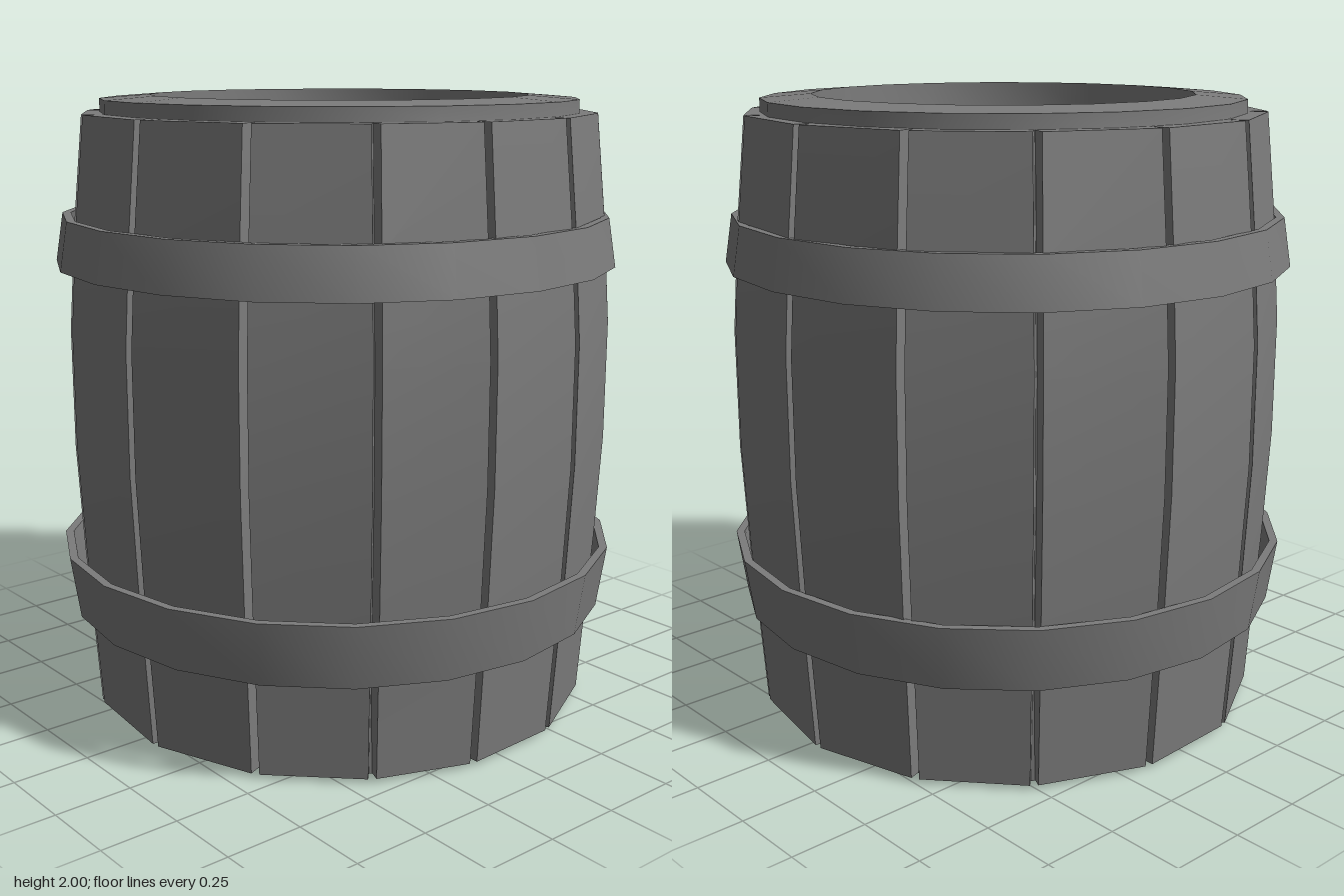
import * as THREE from 'three';
import { toCreasedNormals } from 'three/addons/utils/BufferGeometryUtils.js';

const material = new THREE.MeshStandardMaterial({ color: 0x7c7c7c });
const SIDES = 20;

// Height and corner radius of the bulging staves
const PROFILE = [[0.015, 0.835], [0.3, 0.855], [0.55, 0.873], [0.9, 0.891], [1.28, 0.891], [1.6, 0.868], [1.945, 0.833]];

// Bearings of the seams between staves, in degrees from the front
const SEAMS = [7, 33, 57.5, 80.3, 104.3, 130.6, 155.5, 183, 209, 234, 260, 286, 313, 340, 367];

function addMesh(parent, name, geometry) {
  const mesh = new THREE.Mesh(toCreasedNormals(geometry, 0.5), material);
  mesh.name = name;
  parent.add(mesh);
  return mesh;
}

// Profile runs bottom to top along the outside
function turned(points) {
  return new THREE.LatheGeometry(points.map(([r, y]) => new THREE.Vector2(r, y)), SIDES);
}

// One plank facing +z, lofted through four-cornered sections; neighbours form a V groove
function staveGeometry(half) {
  const position = [], index = [];
  const depth = 0.065, gap = 0.013;
  for (const [y, r] of PROFILE) {
    const z = r * Math.cos(half), outer = r * Math.sin(half) - gap;
    const inner = (z - depth) * Math.tan(half);
    position.push(-outer, y, z, outer, y, z, inner, y, z - depth, -inner, y, z - depth);
  }
  const last = (PROFILE.length - 1) * 4;
  for (let a = 0; a < last; a += 4) {
    for (let k = 0; k < 4; k++) {
      const n = (k + 1) % 4;
      index.push(a + k, a + n, a + 4 + n, a + k, a + 4 + n, a + 4 + k);
    }
  }
  index.push(0, 2, 1, 0, 3, 2, last, last + 1, last + 2, last, last + 2, last + 3);
  const geometry = new THREE.BufferGeometry();
  geometry.setAttribute('position', new THREE.Float32BufferAttribute(position, 3));
  geometry.setIndex(index);
  return geometry;
}

// Flared metal band of even thickness
function hoopGeometry(y0, r0, y1, r1, t = 0.027) {
  return turned([[r0 - t, y0], [r0, y0], [r1, y1], [r1 - t, y1], [r0 - t, y0]]);
}

export function createModel() {
  const barrel = new THREE.Group();
  barrel.name = 'barrel';

  // Inner drum with a recessed head at each end
  const drum = addMesh(barrel, 'drumAndHeads', turned([
    [0, 0.08], [0.61, 0.08], [0.61, 0], [0.8, 0.013],
    [0.8, 0.3], [0.835, 0.9], [0.835, 1.28], [0.8, 1.7], [0.77, 1.945],
    [0.77, 1.988], [0.61, 2], [0.61, 1.89], [0, 1.89],
  ]));
  drum.position.set(-0.01, 0, -0.025);

  // Ring of planks of slightly uneven width
  const staves = new THREE.Group();
  staves.name = 'staves';
  staves.position.set(-0.012, 0, -0.02);
  barrel.add(staves);
  for (let i = 0; i < SEAMS.length - 1; i++) {
    const start = THREE.MathUtils.degToRad(SEAMS[i]), end = THREE.MathUtils.degToRad(SEAMS[i + 1]);
    const stave = addMesh(staves, 'stave', staveGeometry((end - start) / 2));
    stave.rotation.y = (start + end) / 2;
  }

  // Hoops flare towards the middle of the barrel
  const upper = addMesh(barrel, 'upperHoop', hoopGeometry(1.47, 0.912, 1.625, 0.887));
  upper.position.set(-0.012, 0, -0.01);
  const lower = addMesh(barrel, 'lowerHoop', hoopGeometry(0.342, 0.89, 0.545, 0.92));
  lower.position.set(0, 0, -0.003);

  return barrel;
}
